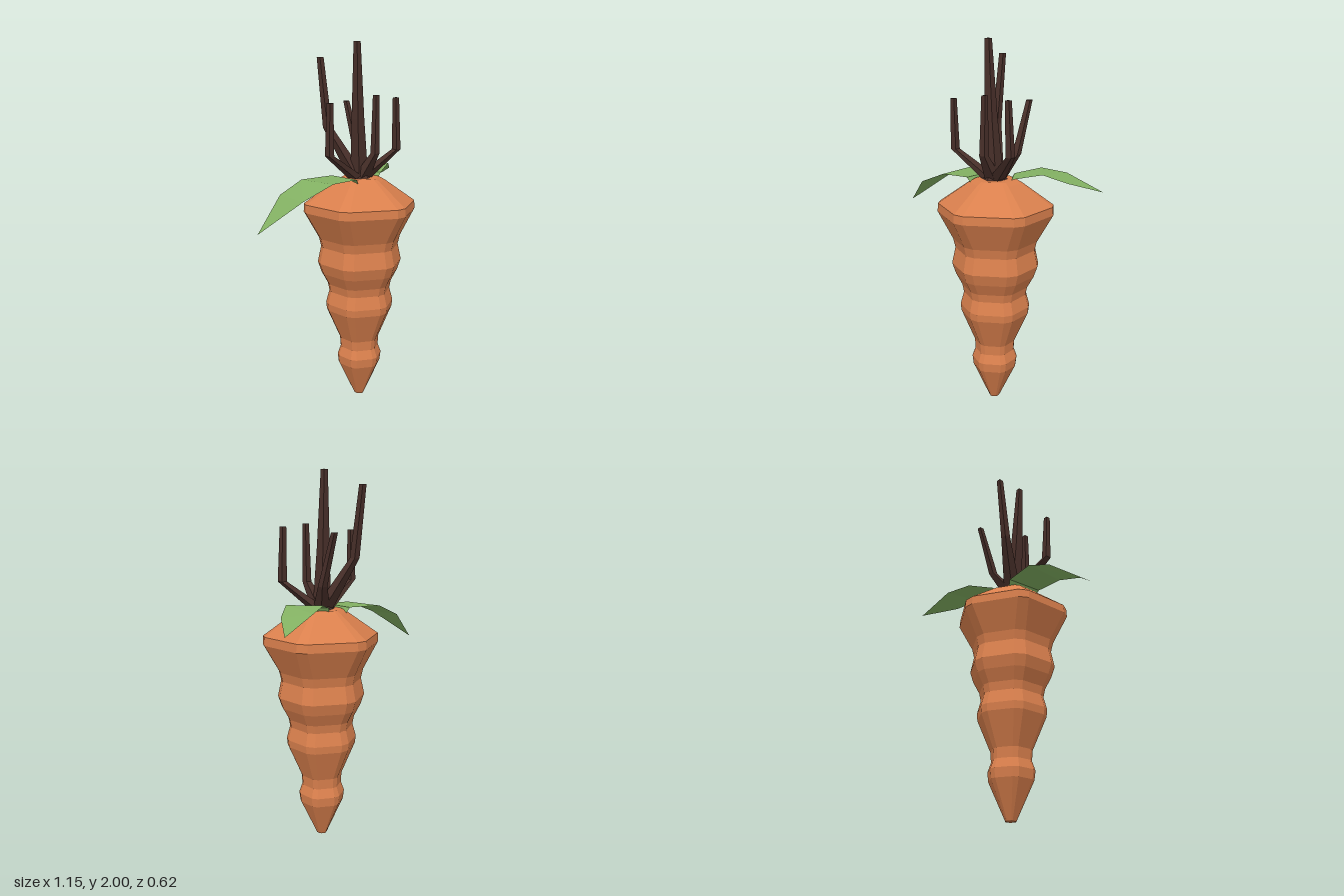
import * as THREE from 'three';

const material = (color, side = THREE.FrontSide) =>
  new THREE.MeshStandardMaterial({ color, flatShading: true, side });

// Skins a list of equally sized rings of Vector3 (counter-clockwise seen from their end)
function loft(rings, closed, capped) {
  const n = rings[0].length, pos = [], idx = [];
  rings.forEach(r => r.forEach(p => pos.push(p.x, p.y, p.z)));
  for (let i = 0; i < rings.length - 1; i++) {
    for (let j = 0; j < (closed ? n : n - 1); j++) {
      const a = i * n + j, b = i * n + (j + 1) % n;
      idx.push(a, b, b + n, a, b + n, a + n);
    }
  }
  if (capped) {
    const last = (rings.length - 1) * n;
    for (let j = 1; j < n - 1; j++) idx.push(0, j + 1, j, last, last + j, last + j + 1);
  }
  const g = new THREE.BufferGeometry();
  g.setAttribute('position', new THREE.Float32BufferAttribute(pos, 3));
  g.setIndex(idx);
  g.computeVertexNormals();
  return g;
}

// Hexagonal ring with bevelled corners
function hexRing(radius, y, bevel) {
  const ring = [];
  for (let k = 0; k < 6; k++) {
    for (const s of [-1, 1]) {
      const a = k * Math.PI / 3 + s * bevel;
      ring.push(new THREE.Vector3(radius * Math.sin(a), y, radius * Math.cos(a)));
    }
  }
  return ring;
}

// Four-sided tapering twig; points are [x, y, z, half thickness]
function twig(points) {
  const rings = points.map(([x, y, z, r]) => [[1, 1], [1, -1], [-1, -1], [-1, 1]].map(
    ([u, v]) => new THREE.Vector3(x + u * r, y, z + v * r)));
  return loft(rings, true, true);
}

export function createModel() {
  const group = new THREE.Group();
  const add = (name, geometry, mat) => {
    const mesh = new THREE.Mesh(geometry, mat);
    mesh.name = name;
    group.add(mesh);
    return mesh;
  };

  // Root body: [radius, height] with pinched bands
  const profile = [
    [0.028, 0], [0.12, 0.2], [0.126, 0.25], [0.108, 0.3], [0.112, 0.355],
    [0.187, 0.53], [0.191, 0.57], [0.172, 0.64], [0.181, 0.685], [0.216, 0.75],
    [0.236, 0.81], [0.217, 0.9], [0.229, 0.95], [0.312, 1.1], [0.309, 1.145],
    [0.14, 1.265], [0.11, 1.282],
  ];
  const rings = profile.map(([r, y]) => hexRing(r, y, y > 1 ? 0.095 : 0.13));
  add('rootBody', loft(rings, true, true), material(0xda804d)).position.x = 0.09;

  // Bare stems growing from the crown
  const brown = material(0x49302a);
  const base = [0.085, 1.265, 0, 0.035];
  const stems = [
    [[0.065, 1.6, 0.008, 0.024], [0.05, 2, 0.015, 0.013]],
    [[-0.015, 1.55, -0.145, 0.018], [-0.018, 1.92, -0.197, 0.013]],
    [[0.16, 1.41, -0.09, 0.017], [0.168, 1.685, -0.187, 0.012]],
    [[-0.163, 1.42, 0.03, 0.017], [-0.165, 1.69, 0.038, 0.012]],
    [[0.263, 1.43, 0.108, 0.017], [0.25, 1.71, 0.112, 0.012]],
    [[0.095, 1.42, 0.107, 0.017], [0.1, 1.725, 0.107, 0.012]],
  ];
  stems.forEach((s, i) => add(`stem${i + 1}`, twig([base, ...s]), brown));
  const crown = new THREE.CylinderGeometry(0.05, 0.08, 0.03, 6);
  add('stemCrown', crown, brown).position.set(0.085, 1.285, 0);

  // Leaves: cross-sections from the tucked base to the pointed tip
  const green = material(0x82b062, THREE.DoubleSide);
  const leaf = sections => loft(
    sections.map(s => s.map(p => new THREE.Vector3(...p))), false, false);
  add('rightLeaf', leaf([
    [[0.005, 1.255, -0.1], [-0.005, 1.255, 0.085]],
    [[-0.015, 1.29, -0.112], [-0.03, 1.29, 0.095]],
    [[-0.21, 1.285, -0.142], [-0.2, 1.285, 0.095]],
    [[-0.36, 1.222, -0.138], [-0.38, 1.215, 0.07]],
    [[-0.577, 1.06, -0.05], [-0.577, 1.06, -0.05]],
  ]), green);
  add('leftLeaf', leaf([
    [[0.19, 1.255, 0.03], [0.115, 1.255, -0.09]],
    [[0.22, 1.3, 0.036], [0.135, 1.3, -0.11]],
    [[0.36, 1.33, -0.038], [0.25, 1.332, -0.195]],
    [[0.46, 1.285, -0.12], [0.37, 1.31, -0.257]],
    [[0.575, 1.225, -0.29], [0.575, 1.225, -0.29]],
  ]), green);

  return group;
}
